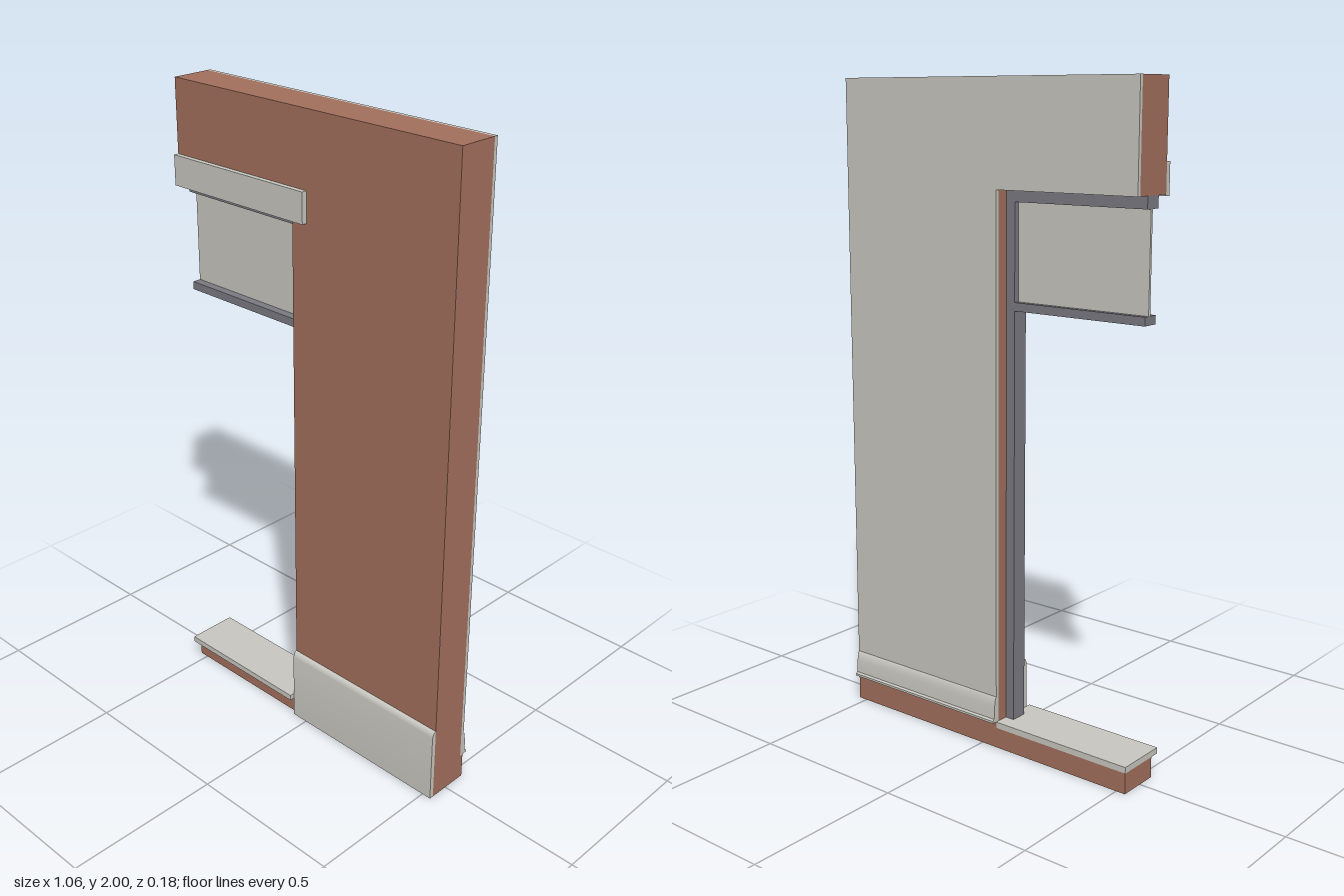
import * as THREE from 'three';
import { toCreasedNormals } from 'three/addons/utils/BufferGeometryUtils.js';

const material = (name, color) => {
  const m = new THREE.MeshStandardMaterial({ color });
  m.name = name;
  return m;
};

export function createModel() {
  const brick = material('brick', 0xa3705d);
  const plaster = material('plaster', 0xc8c7c0);
  const frameGrey = material('frameGrey', 0x7b7a82);

  const model = new THREE.Group();
  model.name = 'wallSection';

  // Main limits: wall ends, opening edge, wall faces
  const END = 0.53, EDGE = -0.055;
  const FRONT = 0.058, CORE_BACK = -0.066, BACK = -0.077;
  const SILL_TOP = 0.083, HEAD = 1.69;

  const add = (name, geometry, mat) => {
    const mesh = new THREE.Mesh(geometry, mat);
    mesh.name = name;
    model.add(mesh);
    return mesh;
  };

  // Box given by its limits on each axis
  const box = (name, mat, [x0, x1], [y0, y1], [z0, z1]) => {
    const g = new THREE.BoxGeometry(x1 - x0, y1 - y0, z1 - z0);
    g.translate((x0 + x1) / 2, (y0 + y1) / 2, (z0 + z1) / 2);
    return add(name, g, mat);
  };

  // L-shaped slab: pier plus the wall over the opening
  const wallSlab = (name, mat, z0, z1) => {
    const shape = new THREE.Shape([
      [EDGE, SILL_TOP], [END, SILL_TOP], [END, 2], [-END, 2], [-END, HEAD], [EDGE, HEAD],
    ].map(([x, y]) => new THREE.Vector2(x, y)));
    const g = new THREE.ExtrudeGeometry(shape, { depth: z1 - z0, bevelEnabled: false });
    g.translate(0, 0, z0);
    return add(name, g, mat);
  };

  // Moulding: a (z, y) profile run along x
  const moulding = (name, mat, x0, x1, profile) => {
    const shape = new THREE.Shape(profile.map(([z, y]) => new THREE.Vector2(-z, y)));
    let g = new THREE.ExtrudeGeometry(shape, { depth: x1 - x0, bevelEnabled: false });
    g.rotateY(Math.PI / 2);
    g.translate(x0, 0, 0);
    g = toCreasedNormals(g, 0.6);
    return add(name, g, mat);
  };

  // Wall: brick core, footing and rear plaster
  wallSlab('brickWall', brick, CORE_BACK, FRONT);
  wallSlab('rearPlaster', plaster, BACK, CORE_BACK);
  box('pierFooting', brick, [EDGE, END], [0, SILL_TOP], [BACK, FRONT]);
  box('openingFooting', brick, [-END, EDGE], [0, 0.064], [BACK, FRONT]);

  // Front plinth with a rounded top
  const plinth = [[FRONT, 0], [0.072, 0]];
  for (let i = 0; i <= 6; i++) {
    const a = (i / 6) * Math.PI / 2;
    plinth.push([FRONT + 0.014 * Math.cos(a), 0.222 + 0.024 * Math.sin(a)]);
  }
  moulding('frontPlinth', plaster, EDGE, END, plinth);

  // Rear skirting with a drip edge
  moulding('rearSkirting', plaster, EDGE, END, [
    [BACK, SILL_TOP], [BACK, 0.165], [-0.081, 0.16], [-0.085, 0.135],
    [-0.087, 0.095], [-0.093, 0.09], [-0.093, SILL_TOP],
  ]);

  // Sill and lintel
  box('sill', plaster, [-END, EDGE], [0.064, SILL_TOP], [BACK, 0.088]);
  box('lintel', plaster, [-END, 0], [HEAD - 0.005, 1.777], [FRONT, 0.074]);

  // Opening frame with a closed panel at the head
  const FRAME_Z = [-0.03, 0.022];
  box('frameJamb', frameGrey, [-0.085, EDGE], [SILL_TOP, HEAD], FRAME_Z);
  box('frameHead', frameGrey, [-END, -0.085], [1.655, HEAD], FRAME_Z);
  box('frameTransom', frameGrey, [-END, -0.085], [1.345, 1.37], FRAME_Z);
  box('headPanel', plaster, [-END, -0.085], [1.37, 1.655], [-0.013, -0.005]);

  return model;
}
